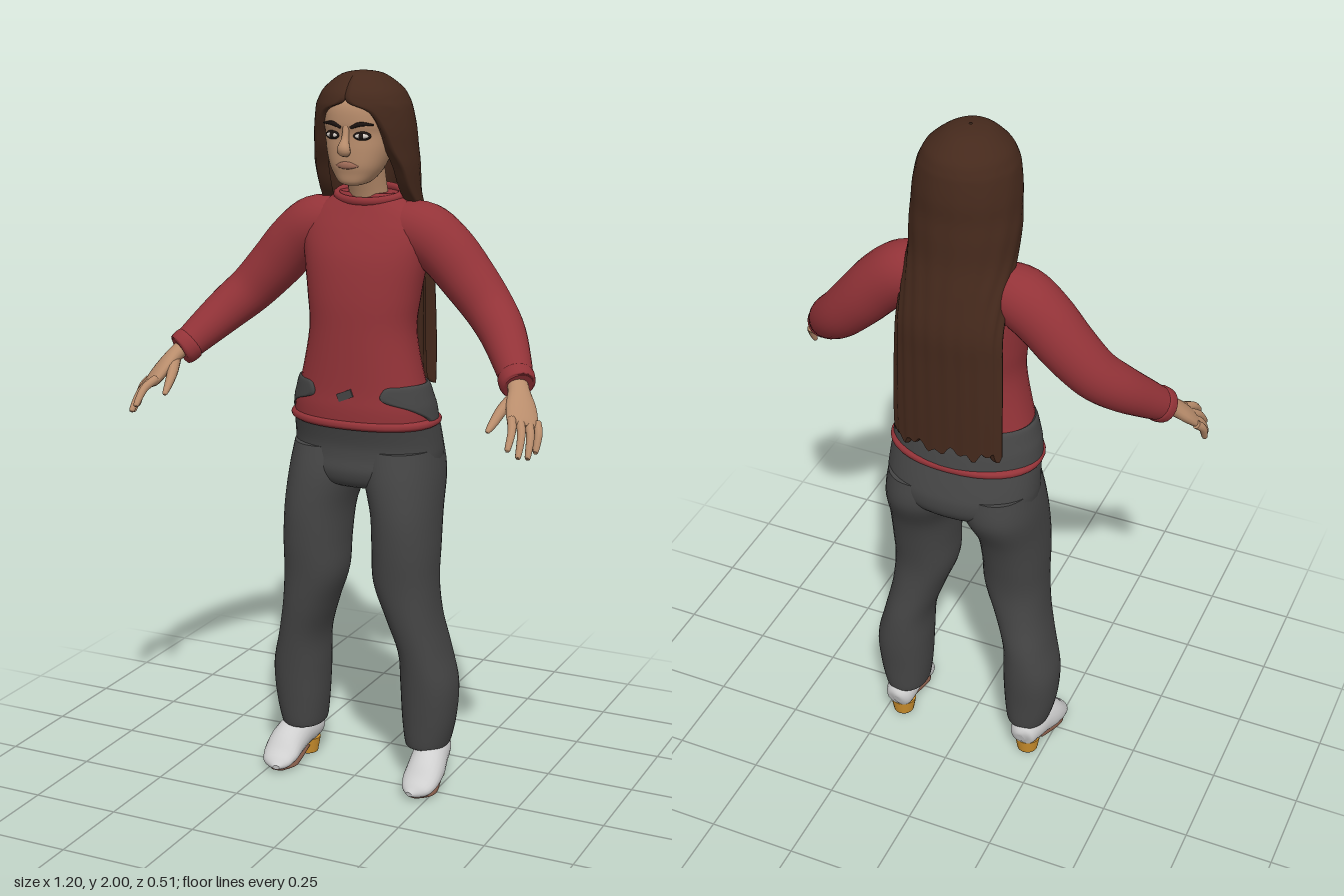
import * as THREE from 'three';

const mat = (name, color, side = THREE.FrontSide) => {
  const m = new THREE.MeshStandardMaterial({ color, side });
  m.name = name;
  return m;
};

// Catmull-Rom interpolation of every column of a table of cross-sections
function smooth(rows, k = 5) {
  const out = [], n = rows.length;
  for (let i = 0; i < n - 1; i++) {
    const [p, q, r, s] = [rows[Math.max(i - 1, 0)], rows[i], rows[i + 1], rows[Math.min(i + 2, n - 1)]];
    for (let j = 0; j < k; j++) {
      const t = j / k;
      out.push(q.map((b, c) => b + 0.5 * t * (r[c] - p[c] + t * (2 * p[c] - 5 * b + 4 * r[c] - s[c]
        + t * (3 * (b - r[c]) + s[c] - p[c])))));
    }
  }
  out.push(rows[n - 1]);
  return out;
}

// Surface over rings that run counter-clockwise about the direction of travel
function skin(rings, cap = true) {
  const m = rings[0].length, pos = [], idx = [];
  rings.forEach(r => r.forEach(p => pos.push(p.x, p.y, p.z)));
  for (let i = 0; i < rings.length - 1; i++) for (let j = 0; j < m; j++) {
    const a = i * m + j, b = i * m + (j + 1) % m;
    idx.push(a, b, a + m, b, b + m, a + m);
  }
  if (cap) [rings[0], rings[rings.length - 1]].forEach((r, end) => {
    const base = pos.length / 3, c = new THREE.Vector3();
    r.forEach(p => { pos.push(p.x, p.y, p.z); c.addScaledVector(p, 1 / m); });
    pos.push(c.x, c.y, c.z);
    for (let j = 0; j < m; j++) {
      const a = base + j, b = base + (j + 1) % m;
      idx.push(base + m, end ? a : b, end ? b : a);
    }
  });
  const g = new THREE.BufferGeometry();
  g.setAttribute('position', new THREE.Float32BufferAttribute(pos, 3));
  g.setIndex(idx);
  g.computeVertexNormals();
  return g;
}

const bend = (v, n) => Math.sign(v) * Math.abs(v) ** (2 / n);

// Horizontal sections, bottom to top: [y, x, halfWidth, zFront, zBack]
const stack = (rows, n = 2.2, seg = 36) => skin(smooth(rows).map(([y, x, a, f, b]) =>
  Array.from({ length: seg }, (_, j) => {
    const t = j / seg * Math.PI * 2;
    return new THREE.Vector3(x + a * bend(Math.cos(t), n), y, (f + b) / 2 - (f - b) / 2 * bend(Math.sin(t), n));
  })));

// Sections square to a path: [x, y, z, radius along side, other radius]
function limb(rows, side = [0, 0, 1], seg = 18, k = 5) {
  const s = smooth(rows, k), at = i => new THREE.Vector3(...s[Math.min(Math.max(i, 0), s.length - 1)].slice(0, 3));
  return skin(s.map((r, i) => {
    const t = at(i + 1).sub(at(i - 1)).normalize(), u = new THREE.Vector3(...side);
    u.addScaledVector(t, -u.dot(t)).normalize();
    const v = t.clone().cross(u);
    return Array.from({ length: seg }, (_, j) => {
      const w = j / seg * Math.PI * 2;
      return at(i).addScaledVector(u, r[3] * Math.cos(w)).addScaledVector(v, r[4] * Math.sin(w));
    });
  }));
}

// Shell open at the front, top to bottom: [y, halfWidth, zFront, zBack, gap angle, inner scale]
function shell(rows, wave = 0, rag = 0, half = 48) {
  const s = smooth(rows), top = rows[0][0], low = rows[rows.length - 1][0];
  return skin(s.map(([y, a, f, b, gap, inner]) => {
    const d = (top - y) / (top - low);
    return Array.from({ length: half * 2 }, (_, j) => {
      const inside = j >= half, q = inside ? half * 2 - 1 - j : j;
      const t = gap + (2 * Math.PI - 2 * gap) * q / (half - 1);
      const k = (inside ? inner : 1) * (1 + wave * Math.sin(q * 1.3) * Math.min(1, d * 1.5));
      return new THREE.Vector3(a * k * Math.sin(t),
        y + rag * d ** 8 * Math.sin(q * 0.9) * Math.cos(q * 0.37), (f + b) / 2 + (f - b) / 2 * k * Math.cos(t));
    });
  }).reverse(), false);
}

export function createModel() {
  const model = new THREE.Group();
  model.name = 'standingWoman';
  const red = mat('shirt red', 0x933338), grey = mat('trouser grey', 0x454545, THREE.DoubleSide),
    brown = mat('hair brown', 0x45291c, THREE.DoubleSide), flesh = mat('skin', 0xb98d6c),
    white = mat('shoe white', 0xcfcfcf), gold = mat('heel gold', 0xd0922e), tan = mat('sole brown', 0x7d5645),
    dark = mat('brow black', 0x1c1411), lip = mat('lip pink', 0xa06c58), eyeWhite = mat('eye white', 0xd8d0c8);
  const add = (name, geo, m) => {
    const o = new THREE.Mesh(geo, m);
    o.name = name;
    model.add(o);
    return o;
  };

  // Head, neck and face
  add('neck', limb([[0, 1.6, -0.105, 0.06, 0.055], [0, 1.68, -0.085, 0.053, 0.052], [0, 1.78, -0.05, 0.055, 0.055]], [1, 0, 0]), flesh);
  add('head', stack([[1.704, 0, 0.022, 0.03, -0.02], [1.712, 0, 0.042, 0.042, -0.05], [1.735, 0, 0.062, 0.047, -0.08],
    [1.76, 0, 0.075, 0.052, -0.1], [1.8, 0, 0.088, 0.053, -0.13], [1.84, 0, 0.093, 0.052, -0.14],
    [1.87, 0, 0.096, 0.058, -0.145], [1.92, 0, 0.092, 0.052, -0.14], [1.965, 0, 0.06, 0.015, -0.11]], 2.3), flesh);
  add('nose', limb([[0, 1.862, 0.052, 0.009, 0.006], [0, 1.83, 0.058, 0.01, 0.01], [0, 1.803, 0.068, 0.018, 0.015],
    [0, 1.793, 0.06, 0.016, 0.012], [0, 1.787, 0.05, 0.008, 0.006]], [1, 0, 0], 14), flesh);
  add('lips', limb([[-0.033, 1.757, 0.046, 0.001, 0.001], [-0.012, 1.759, 0.052, 0.009, 0.005],
    [0.012, 1.759, 0.052, 0.009, 0.005], [0.033, 1.757, 0.046, 0.001, 0.001]], [0, 1, 0], 10), lip);

  // Hair with a face opening, falling down the back
  add('hair', shell([[2, 0.004, -0.045, -0.055, 0, 0.9], [1.99, 0.055, 0.01, -0.115, 0, 0.9],
    [1.955, 0.103, 0.05, -0.165, 0, 0.9], [1.925, 0.122, 0.064, -0.183, 0.06, 0.9], [1.9, 0.131, 0.066, -0.19, 0.5, 0.88],
    [1.85, 0.139, 0.062, -0.198, 0.72, 0.8], [1.8, 0.142, 0.052, -0.2, 0.85, 0.78], [1.75, 0.145, 0.04, -0.206, 1.03, 0.76],
    [1.68, 0.143, 0.01, -0.213, 1.2, 0.76], [1.6, 0.145, -0.05, -0.23, 1.5, 0.8], [1.5, 0.15, -0.1, -0.248, 1.7, 0.82],
    [1.4, 0.155, -0.115, -0.246, 1.75, 0.82], [1.25, 0.16, -0.13, -0.243, 1.8, 0.8], [1.15, 0.16, -0.135, -0.24, 1.8, 0.84],
    [1.135, 0.16, -0.135, -0.24, 1.8, 1]], 0.018, 0.02), brown);

  // Shirt body, collar and hem
  add('shirt', stack([[1.05, 0, 0.204, 0.064, -0.205], [1.1, 0, 0.199, 0.065, -0.195], [1.16, 0, 0.18, 0.06, -0.175],
    [1.3, 0, 0.152, 0.056, -0.165], [1.4, 0, 0.16, 0.052, -0.175], [1.5, 0, 0.176, 0.036, -0.18],
    [1.57, 0, 0.185, 0.01, -0.18], [1.62, 0, 0.165, -0.015, -0.175], [1.655, 0, 0.115, -0.033, -0.165],
    [1.675, 0, 0.085, -0.045, -0.155]]), red);
  const collar = add('collar', new THREE.TorusGeometry(0.092, 0.012, 10, 36), red);
  collar.scale.set(1, 0.72, 1);
  collar.rotation.x = Math.PI / 2 + 0.22;
  collar.position.set(0, 1.668, -0.096);
  add('hem', stack([[1.045, 0, 0.205, 0.062, -0.212], [1.052, 0, 0.215, 0.07, -0.22], [1.063, 0, 0.215, 0.07, -0.22],
    [1.07, 0, 0.205, 0.064, -0.21]]), red);

  // Trouser waistband wrapping the sides and back
  add('waistband', shell([[1.168, 0.184, 0.062, -0.182, 0.75, 1], [1.16, 0.191, 0.067, -0.19, 0.6, 0.93],
    [1.13, 0.2, 0.07, -0.2, 0.55, 0.93], [1.105, 0.207, 0.071, -0.208, 0.95, 0.93],
    [1.075, 0.211, 0.07, -0.215, 1.3, 0.93], [1.06, 0.212, 0.07, -0.218, 1.35, 1]]), grey);
  const patch = add('waistPatch', new THREE.BoxGeometry(0.045, 0.022, 0.006), grey);
  patch.position.set(0, 1.14, 0.062);
  patch.rotation.z = 0.4;
  add('hips', stack([[0.868, 0, 0.12, 0.01, -0.16], [0.885, 0, 0.17, 0.04, -0.205], [0.92, 0, 0.206, 0.052, -0.238],
    [0.96, 0, 0.214, 0.046, -0.245], [1.0, 0, 0.213, 0.046, -0.235], [1.06, 0, 0.209, 0.06, -0.213]]), grey);

  for (const s of [1, -1]) {
    const side = s > 0 ? 'left' : 'right';
    const flip = rows => rows.map(([x, ...rest]) => [s * x, ...rest]);

    // Eye and brow
    const eye = (name, w, h, d, x, z, m) => {
      const o = add(side + name, new THREE.SphereGeometry(1, 16, 10), m);
      o.scale.set(w, h, d);
      o.position.set(s * x, 1.837, z);
      o.rotation.y = s * 0.3;
    };
    eye('EyeLine', 0.024, 0.012, 0.006, 0.043, 0.045, dark);
    eye('Eye', 0.019, 0.007, 0.006, 0.043, 0.0475, eyeWhite);
    eye('Iris', 0.008, 0.0075, 0.005, 0.042, 0.0505, dark);
    add(side + 'Brow', limb(flip([[0.014, 1.858, 0.056, 0.004, 0.003], [0.04, 1.868, 0.052, 0.006, 0.004],
      [0.072, 1.866, 0.036, 0.002, 0.002]]), [0, 1, 0], 8), dark);

    // Sleeve and cuff
    add(side + 'Sleeve', limb(flip([[0.09, 1.585, -0.098, 0.07, 0.07], [0.16, 1.572, -0.1, 0.08, 0.082],
      [0.225, 1.525, -0.102, 0.078, 0.08], [0.29, 1.455, -0.1, 0.074, 0.075], [0.355, 1.385, -0.085, 0.068, 0.068],
      [0.41, 1.33, -0.045, 0.062, 0.062], [0.46, 1.272, 0.015, 0.052, 0.052], [0.5, 1.222, 0.07, 0.042, 0.042]]), [0, 0, 1], 26), red);
    add(side + 'Cuff', limb(flip([[0.483, 1.243, 0.047, 0.044, 0.044], [0.488, 1.237, 0.054, 0.049, 0.049],
      [0.499, 1.223, 0.069, 0.047, 0.047], [0.503, 1.219, 0.074, 0.04, 0.04]]), [0, 0, 1], 22), red);

    // Palm, four fingers and thumb
    const across = [s * 0.055, -0.012, -0.05];
    add(side + 'Palm', limb(flip([[0.49, 1.235, 0.06, 0.028, 0.024], [0.51, 1.212, 0.09, 0.03, 0.022],
      [0.53, 1.178, 0.125, 0.042, 0.02], [0.546, 1.147, 0.155, 0.043, 0.016], [0.552, 1.137, 0.165, 0.034, 0.01]]), across), flesh);
    const tips = [[0.543, 1.1, 0.25], [0.566, 1.08, 0.235], [0.58, 1.072, 0.203], [0.588, 1.08, 0.168]];
    tips.forEach(([x, y, z], i) => {
      const b = [0.523 + i * 0.017, 1.158 - i * 0.005, 0.175 - i * 0.016];
      const mid = [(b[0] + x) / 2 + 0.006, (b[1] + y) / 2 + 0.008, (b[2] + z) / 2];
      add(side + 'Finger' + (i + 1), limb(flip([[...b, 0.012, 0.012], [...mid, 0.011, 0.011],
        [x, y, z, 0.008, 0.008], [x, y - 0.004, z + 0.004, 0.002, 0.002]]), across, 10), flesh);
    });
    add(side + 'Thumb', limb(flip([[0.506, 1.203, 0.1, 0.016, 0.018], [0.488, 1.175, 0.145, 0.015, 0.015],
      [0.479, 1.147, 0.185, 0.012, 0.011], [0.474, 1.13, 0.212, 0.007, 0.007], [0.473, 1.127, 0.216, 0.002, 0.002]]), across, 10), flesh);

    // Trouser leg
    add(side + 'Leg', stack([[0.115, 0.196, 0.054, -0.008, -0.145], [0.122, 0.196, 0.062, 0, -0.155],
      [0.2, 0.2, 0.075, 0.008, -0.16], [0.3, 0.2, 0.079, 0.018, -0.168], [0.4, 0.187, 0.069, 0.03, -0.166],
      [0.5, 0.161, 0.075, 0.045, -0.152], [0.6, 0.139, 0.089, 0.055, -0.147], [0.7, 0.137, 0.091, 0.065, -0.163],
      [0.8, 0.132, 0.093, 0.068, -0.19], [0.9, 0.115, 0.105, 0.058, -0.235], [0.98, 0.108, 0.1, 0.038, -0.23]]
      .map(([y, x, ...r]) => [y, s * x, ...r])), grey);

    // Shoe with sole and heel
    add(side + 'Shoe', limb(flip([[0.2, 0.075, -0.155, 0.012, 0.02], [0.2, 0.078, -0.145, 0.036, 0.042],
      [0.204, 0.085, -0.11, 0.046, 0.052], [0.212, 0.082, -0.06, 0.05, 0.055], [0.22, 0.06, -0.005, 0.054, 0.048],
      [0.219, 0.037, 0.04, 0.052, 0.03], [0.213, 0.025, 0.068, 0.038, 0.02], [0.209, 0.02, 0.088, 0.01, 0.007]]), [1, 0, 0], 22), white);
    add(side + 'Sole', limb(flip([[0.212, 0.03, -0.08, 0.03, 0.005], [0.217, 0.014, -0.02, 0.04, 0.006],
      [0.219, 0.007, 0.03, 0.044, 0.006], [0.212, 0.008, 0.07, 0.02, 0.005]]), [1, 0, 0], 14), tan);
    const heel = add(side + 'Heel', new THREE.CylinderGeometry(0.038, 0.03, 0.045, 20), gold);
    heel.position.set(s * 0.203, 0.0235, -0.106);
    const tip = add(side + 'HeelTip', new THREE.CylinderGeometry(0.03, 0.03, 0.006, 20), dark);
    tip.position.set(s * 0.203, 0.003, -0.106);
  }
  return model;
}
